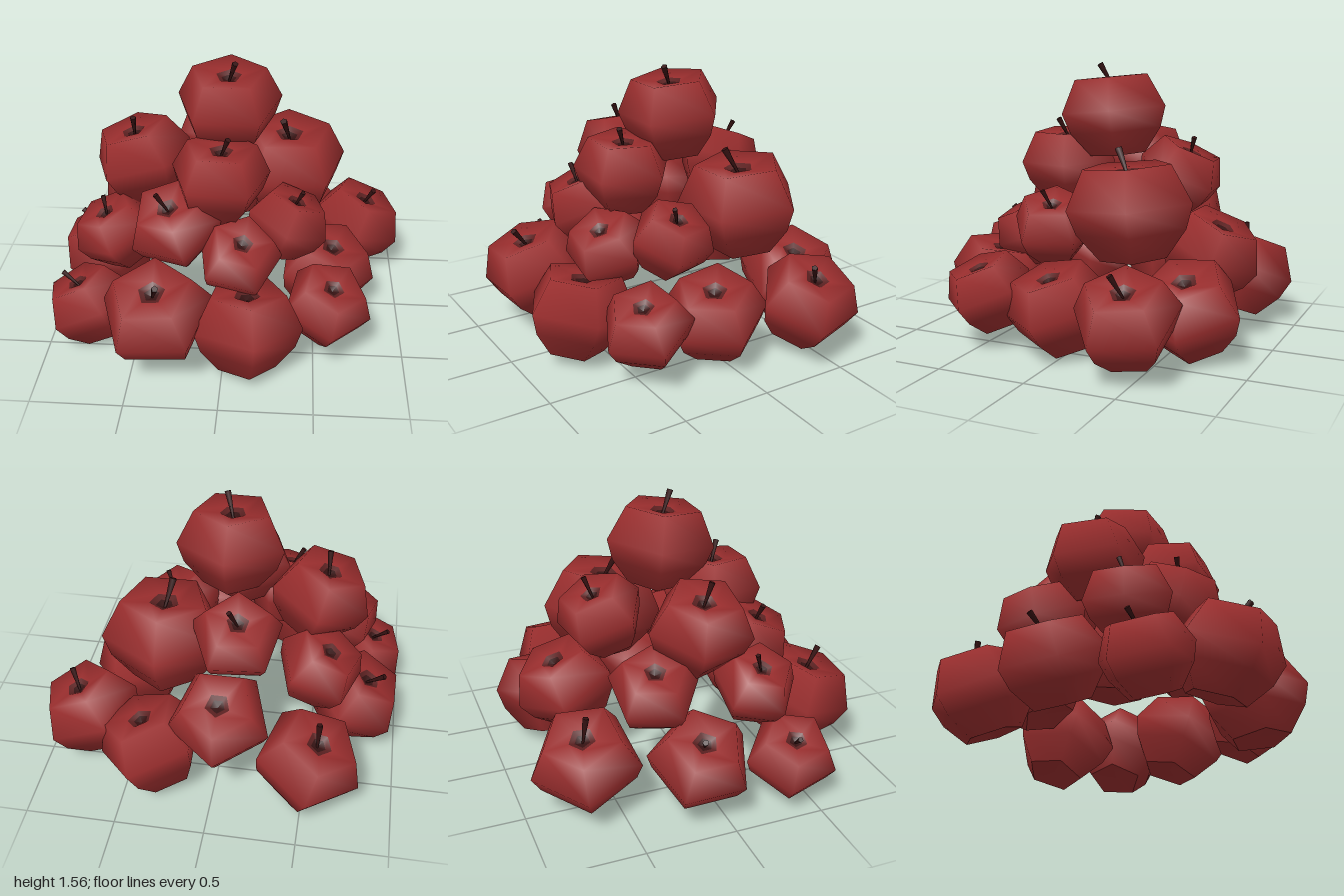
import * as THREE from 'three';

// Each apple: centre x, y, z, radius, compass angle of one corner (degrees), lean of its axis in x and z, has a stem
const APPLES = [
  // top and third layer
  [-0.01, 1.28, -0.05, 0.307, -90, 0, 0.1, true],
  [-0.50, 0.96, -0.01, 0.29, -90, -0.28, 0, true],
  [0.33, 0.80, -0.29, 0.352, -20, 0, 0.08, true],
  [-0.09, 0.93, -0.42, 0.258, 226, -0.1, -0.42, true],
  [-0.04, 0.98, 0.25, 0.285, -90, 0.05, 0.02, true],
  // second layer
  [-0.28, 0.74, 0.36, 0.265, 75, -0.2, 0.42, true],
  [0.07, 0.59, 0.42, 0.245, 60, 0.22, 0.5, false],
  [0.33, 0.67, 0.17, 0.242, -52, 0.4, -0.1, true],
  [-0.62, 0.63, 0.26, 0.24, 160, -0.45, 0.1, true],
  [-0.53, 0.66, -0.28, 0.255, 234, -0.45, -0.12, false],
  [-0.03, 0.52, -0.62, 0.29, -90, 0, -0.45, false],
  // bottom ring
  [0.56, 0.28, 0.03, 0.295, -69, 0.25, 0.2, false],
  [0.56, 0.32, 0.46, 0.255, 10, 0.25, 0.3, false],
  [0.13, 0.29, 0.64, 0.31, 8, 0, -0.15, false],
  [-0.35, 0.37, 0.67, 0.315, -90, -0.08, 0.33, true],
  [-0.77, 0.24, 0.42, 0.255, 58, -0.48, -0.05, true],
  [-0.74, 0.31, -0.10, 0.288, 73, -0.5, -0.05, true],
  [-0.52, 0.31, -0.66, 0.308, -93, -0.34, -0.2, true],
  [0.75, 0.32, -0.45, 0.292, 307, 0.42, -0.05, true],
  [0.35, 0.29, -0.64, 0.305, -77, 0.38, 0.05, false],
];

// Five-sided turned surface; a repeated point makes a sharp edge
const turned = (points) =>
  new THREE.LatheGeometry(points.map(([r, y]) => new THREE.Vector2(r, y)), 5);

export function createModel() {
  const red = new THREE.MeshStandardMaterial({ color: 0x982d2d });
  red.name = 'apple red';
  const brown = new THREE.MeshStandardMaterial({ color: 0x5a2020 });
  brown.name = 'hollow brown';
  const dark = new THREE.MeshStandardMaterial({ color: 0x351212 });
  dark.name = 'stem brown';

  // Unit-radius apple parts, shared by all the apples
  const skinGeo = turned([
    [0, -0.68], [0.53, -0.74], [0.53, -0.74], [0.87, -0.3], [1, 0.08], [0.7, 0.68], [0.24, 0.61],
  ]);
  const hollowGeo = turned([[0.24, 0.61], [0.14, 0.56]]);
  const pitGeo = turned([[0.14, 0.56], [0, 0.5]]);
  const stemGeo = new THREE.CylinderGeometry(0.06, 0.02, 0.48, 5);
  stemGeo.translate(0, 0.24, 0);

  const pile = new THREE.Group();
  pile.name = 'applePile';
  const up = new THREE.Vector3(0, 1, 0);

  APPLES.forEach(([x, y, z, r, corner, leanX, leanZ, hasStem], i) => {
    const apple = new THREE.Group();
    apple.name = `apple${i + 1}`;
    const add = (name, geometry, material) => {
      const mesh = new THREE.Mesh(geometry, material);
      mesh.name = name;
      apple.add(mesh);
      return mesh;
    };
    add('skin', skinGeo, red);
    add('stemHollow', hollowGeo, brown);
    add('stemPit', pitGeo, dark);
    if (hasStem) {
      const stem = add('stem', stemGeo, dark);
      stem.position.y = 0.5;
      stem.rotation.set(-0.35, 0, 0.27);
    }

    // Turn about its own axis, then lean
    const axis = new THREE.Vector3(leanX, 1, leanZ).normalize();
    const turn = THREE.MathUtils.degToRad(90 - corner);
    apple.quaternion.setFromUnitVectors(up, axis)
      .multiply(new THREE.Quaternion().setFromAxisAngle(up, turn));
    apple.position.set(x, y, z);
    apple.scale.setScalar(r);
    pile.add(apple);
  });
  return pile;
}
